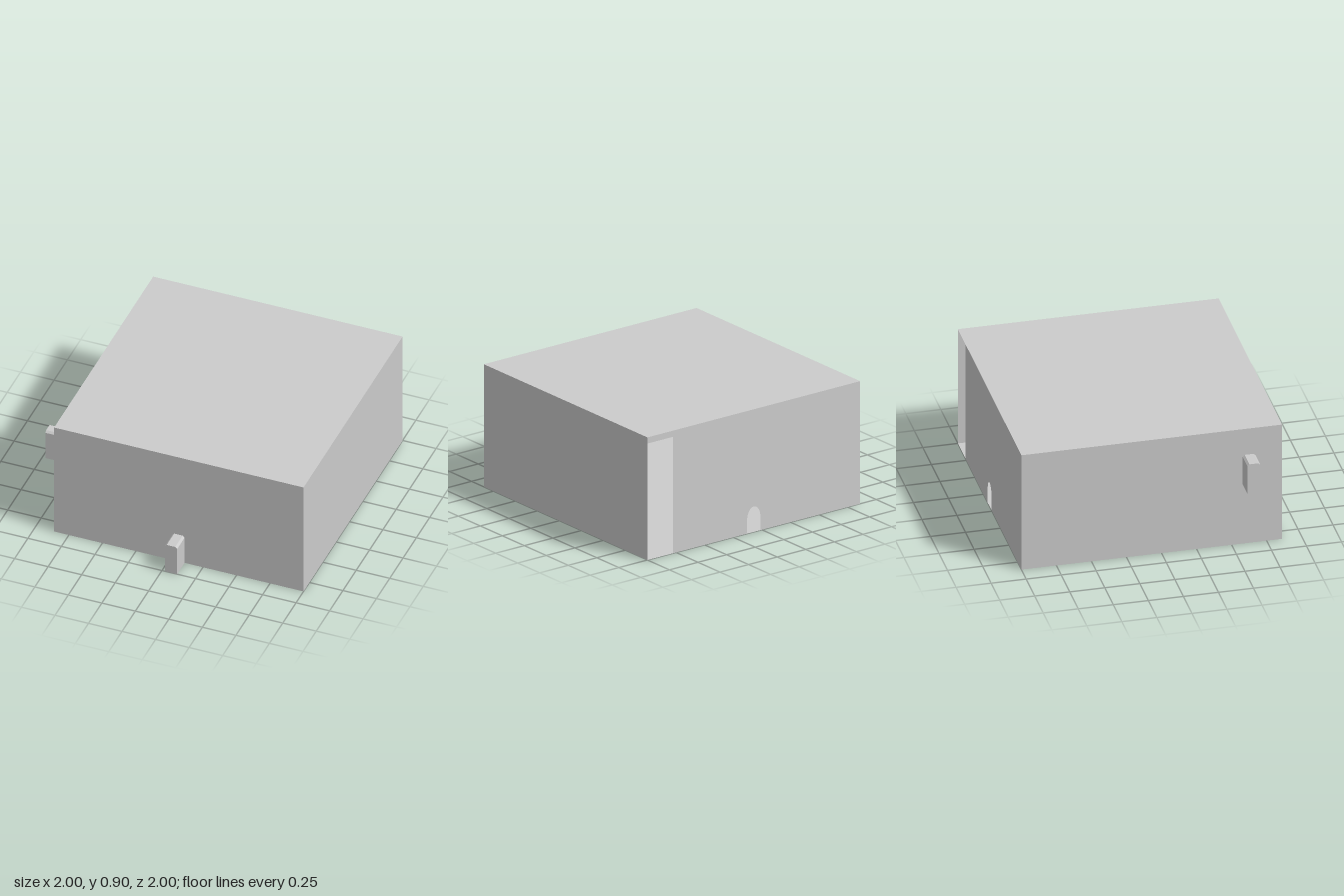
import * as THREE from 'three';

const X0 = -0.86, X1 = 1, Z0 = -1, Z1 = 0.86, H = 0.905;

export function createModel() {
  const model = new THREE.Group();
  const sheet = new THREE.MeshStandardMaterial({ color: 0xcccccc, side: THREE.DoubleSide, flatShading: true });
  const solid = new THREE.MeshStandardMaterial({ color: 0xcccccc, flatShading: true });

  const add = (name, geometry, material, x, y, z, rx = 0, ry = 0) => {
    const mesh = new THREE.Mesh(geometry, material);
    mesh.name = name;
    mesh.position.set(x, y, z);
    mesh.rotation.set(rx, ry, 0);
    model.add(mesh);
  };

  // Thin-walled hollow shell
  const w = X1 - X0, d = Z1 - Z0, cx = (X0 + X1) / 2, cz = (Z0 + Z1) / 2;
  add('floor', new THREE.PlaneGeometry(w, d), sheet, cx, 0, cz, Math.PI / 2);
  add('roof', new THREE.PlaneGeometry(w, d), sheet, cx, H, cz, -Math.PI / 2);
  add('frontWall', new THREE.PlaneGeometry(w, H), sheet, cx, H / 2, Z1);
  add('leftWall', new THREE.PlaneGeometry(d, H), sheet, X1, H / 2, cz, 0, Math.PI / 2);
  add('rightWall', new THREE.PlaneGeometry(d, H), sheet, X0, H / 2, cz, 0, -Math.PI / 2);

  // Back wall: stops short of the left corner as a doorway, with a small arched hole
  const doorway = 0.775, archX = 0.07, archR = 0.058, spring = 0.1, archTop = 0.188;
  const back = new THREE.Shape();
  back.moveTo(X0, 0);
  back.lineTo(archX - archR, 0);
  back.lineTo(archX - archR, spring);
  back.absellipse(archX, spring, archR, archTop - spring, Math.PI, 0, true);
  back.lineTo(archX + archR, 0);
  back.lineTo(doorway, 0);
  back.lineTo(doorway, H);
  back.lineTo(X0, H);
  back.closePath();
  add('backWall', new THREE.ShapeGeometry(back, 16), sheet, 0, 0, Z0);

  // Small blocks with bevelled top edges, standing out from the walls
  const hw = 0.046, h = 0.233, bevel = 0.014;
  const profile = new THREE.Shape([
    [-hw, 0], [hw, 0], [hw, h - bevel], [hw - bevel, h], [bevel - hw, h], [-hw, h - bevel],
  ].map(([x, y]) => new THREE.Vector2(x, y)));
  const block = new THREE.ExtrudeGeometry(profile, { depth: 0.14, bevelEnabled: false });
  add('frontBlock', block, solid, 0.067, 0, Z1);
  add('sideBlock', block, solid, X0, 0.467, 0.625, 0, -Math.PI / 2);

  return model;
}
